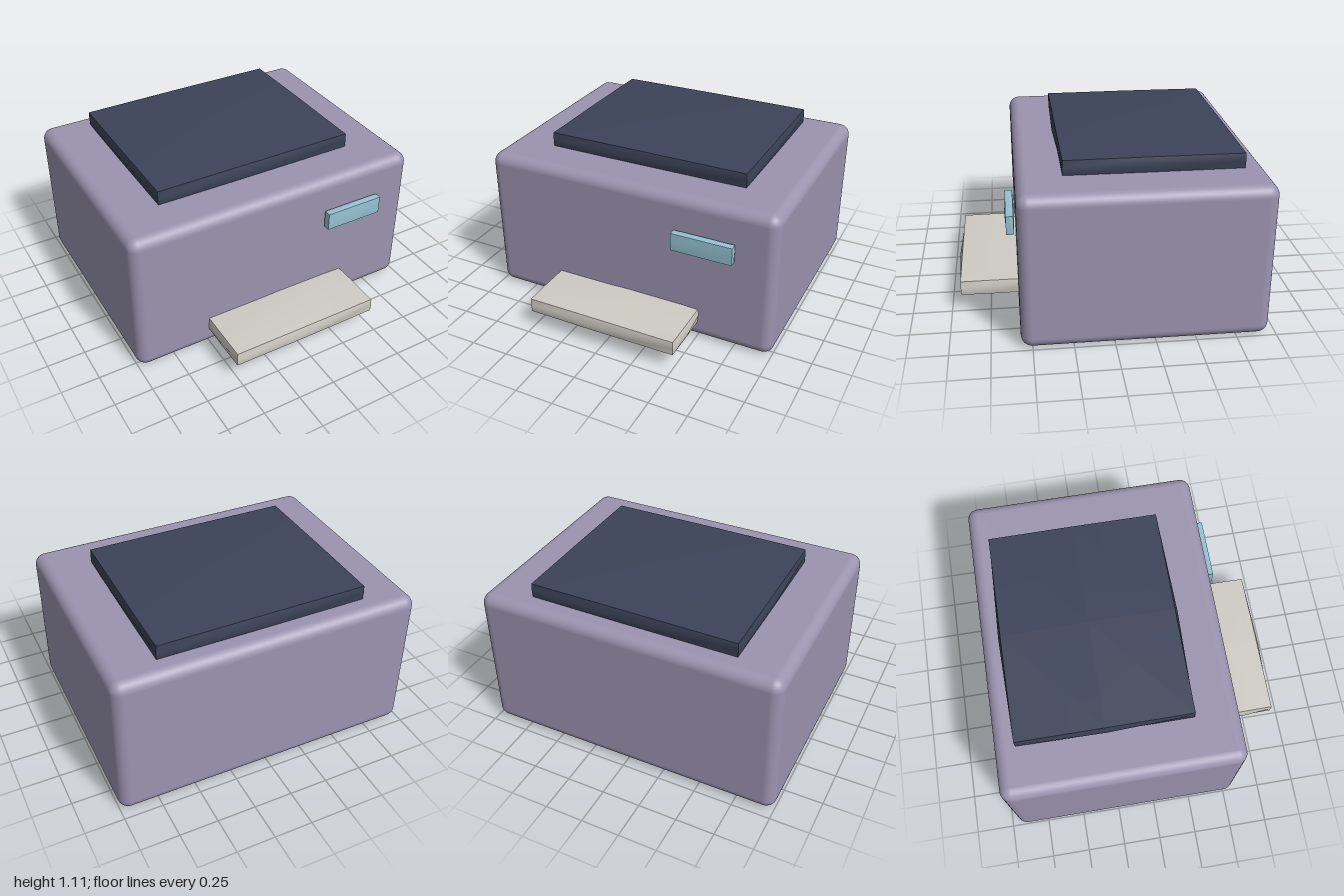
import * as THREE from 'three';
import { RoundedBoxGeometry } from 'three/addons/geometries/RoundedBoxGeometry.js';

const material = (name, color) => {
  const m = new THREE.MeshStandardMaterial({ color });
  m.name = name;
  return m;
};

// Box whose six faces swell towards their centres, with crisp edges
function pillowBox(w, h, d, bulge) {
  const geometry = new THREE.BoxGeometry(w, h, d, 2, 2, 2);
  const half = [w / 2, h / 2, d / 2];
  const p = geometry.attributes.position;
  for (let i = 0; i < p.count; i++) {
    const u = [0, 1, 2].map((k) => p.getComponent(i, k) / half[k]);
    u.forEach((s, k) => {
      const a = 1 - Math.abs(u[(k + 1) % 3]);
      const b = 1 - Math.abs(u[(k + 2) % 3]);
      const swell = bulge[k] * (0.85 * a * b + 0.075 * (a + b));
      p.setComponent(i, k, s * (half[k] + swell));
    });
  }
  geometry.computeVertexNormals();
  return geometry;
}

export function createModel() {
  const group = new THREE.Group();
  const add = (name, geometry, mat, x, y, z) => {
    const mesh = new THREE.Mesh(geometry, mat);
    mesh.name = name;
    mesh.position.set(x, y, z);
    group.add(mesh);
  };

  // Main housing
  add('body', new RoundedBoxGeometry(2, 0.99, 1.525, 4, 0.07),
    material('mauve', 0x9b94b0), 0, 0.495, -0.193);

  // Raised lid, sunk slightly into the top
  add('lid', pillowBox(1.368, 0.095, 1.105, [0.02, 0.02, 0.02]),
    material('navy', 0x3c4359), 0, 1.038, -0.268);

  // Paper tray reaching out of the front
  add('tray', pillowBox(1.01, 0.095, 0.41, [0.02, 0.02, 0.02]),
    material('warm grey', 0xcfcbc4), 0, 0.168, 0.73);

  // Display panel on the upper front
  add('display', pillowBox(0.4, 0.118, 0.046, [0.008, 0.008, 0.008]),
    material('pale blue', 0x94c2d2), 0.54, 0.708, 0.606);

  return group;
}
